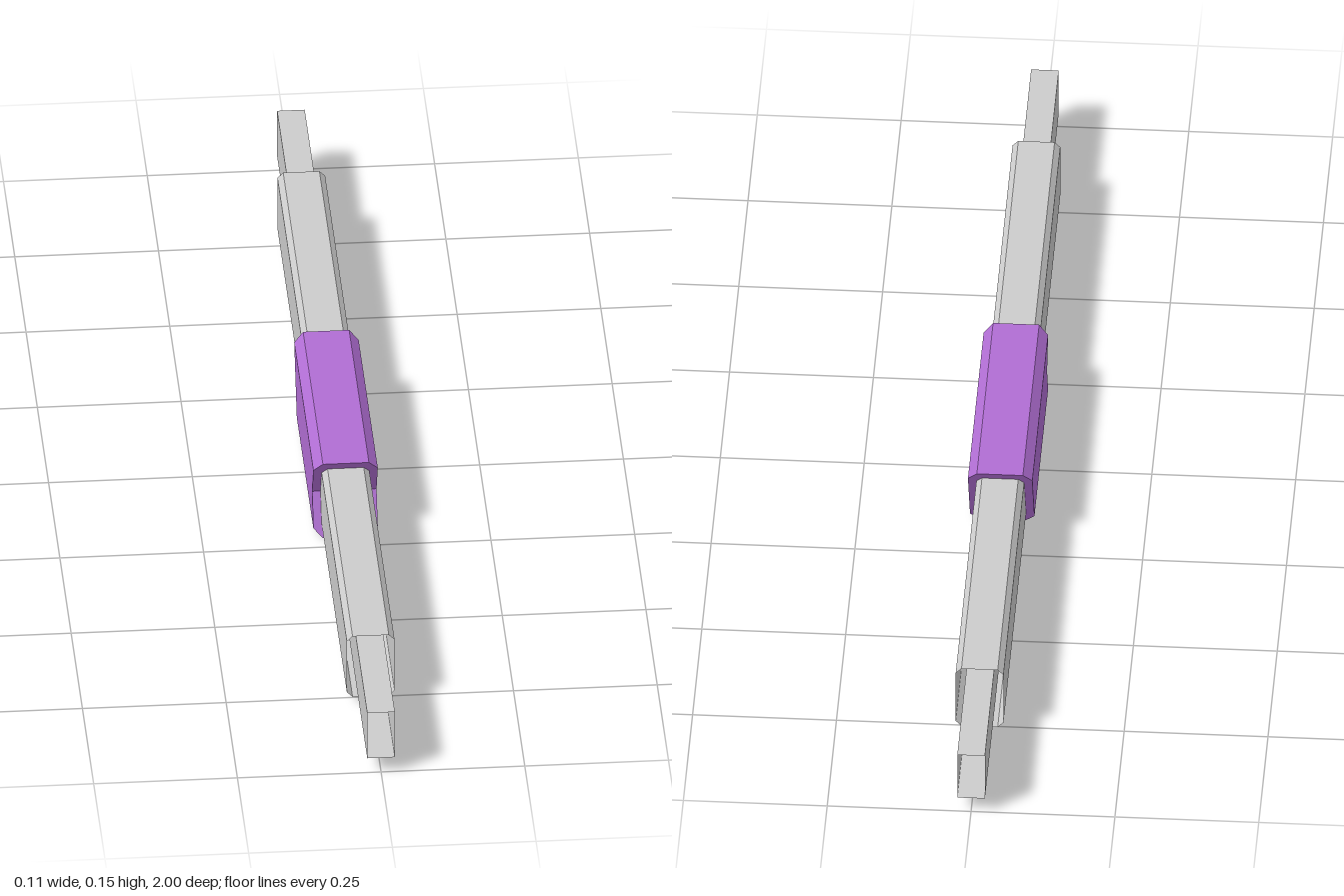
import * as THREE from 'three';

const MID = 0.075; // height of the long axis

// Closed cross-section: a rectangle with chamfered corners and a point halfway up each side
function section(hw, hh, c) {
  const quarter = c > 0 ? [[hw, 0], [hw, hh - c], [hw - c, hh]] : [[hw, 0], [hw, hh]];
  const right = [...quarter.slice(1).reverse().map(([x, y]) => [x, -y]), ...quarter];
  const left = right.map(([x, y]) => [-x, y]).reverse();
  return [...right, ...left];
}

// Place a section in space, with z given as a rule of height
const ring = (pts, zAt) => pts.map(([x, y]) => [x, y + MID, zAt(y)]);

// Skin a list of rings, each running towards the next (front to back)
function loft(rings) {
  const pos = [];
  for (let r = 0; r < rings.length - 1; r++) {
    const a = rings[r], b = rings[r + 1];
    for (let i = 0; i < a.length; i++) {
      const j = (i + 1) % a.length;
      pos.push(...a[i], ...b[i], ...b[j], ...a[i], ...b[j], ...a[j]);
    }
  }
  const geo = new THREE.BufferGeometry();
  geo.setAttribute('position', new THREE.Float32BufferAttribute(pos, 3));
  geo.computeVertexNormals();
  return geo;
}

export function createModel() {
  const group = new THREE.Group();
  const grey = new THREE.MeshStandardMaterial({ color: 0xcccccc, flatShading: true, side: THREE.DoubleSide });
  grey.name = 'light grey';
  const purple = new THREE.MeshStandardMaterial({ color: 0xb16ed4, flatShading: true, side: THREE.DoubleSide });
  purple.name = 'purple';

  const add = (name, geo, mat) => {
    const mesh = new THREE.Mesh(geo, mat);
    mesh.name = name;
    group.add(mesh);
  };

  const inner = section(0.024, 0.046, 0);
  const outer = section(0.0415, 0.0615, 0.01);
  const collar = section(0.056, 0.075, 0.016);

  // Open-ended sheet tubes, one on each side of the central wall
  for (const [side, s] of [['front', 1], ['back', -1]]) {
    const span = (pts, end) => loft((s > 0 ? [end, 0] : [0, -end]).map((z) => ring(pts, () => z)));
    add(side + 'InnerTube', span(inner, 1), grey);
    add(side + 'OuterTube', span(outer, 0.77), grey);
  }

  // Sleeve: V-notched front, slanted back, with rims closing onto the outer tube
  const frontZ = (y) => 0.186 + 0.034 * Math.abs(y) / 0.075;
  const backZ = (y) => -0.184 - 0.036 * y / 0.075;
  add('sleeve', loft([
    ring(outer, frontZ), ring(collar, frontZ), ring(collar, backZ), ring(outer, backZ),
  ]), purple);

  // Wall across the middle of the sleeve
  const wall = new THREE.ShapeGeometry(new THREE.Shape(outer.map(([x, y]) => new THREE.Vector2(x, y))));
  wall.translate(0, MID, 0);
  add('centreWall', wall, purple);

  return group;
}
